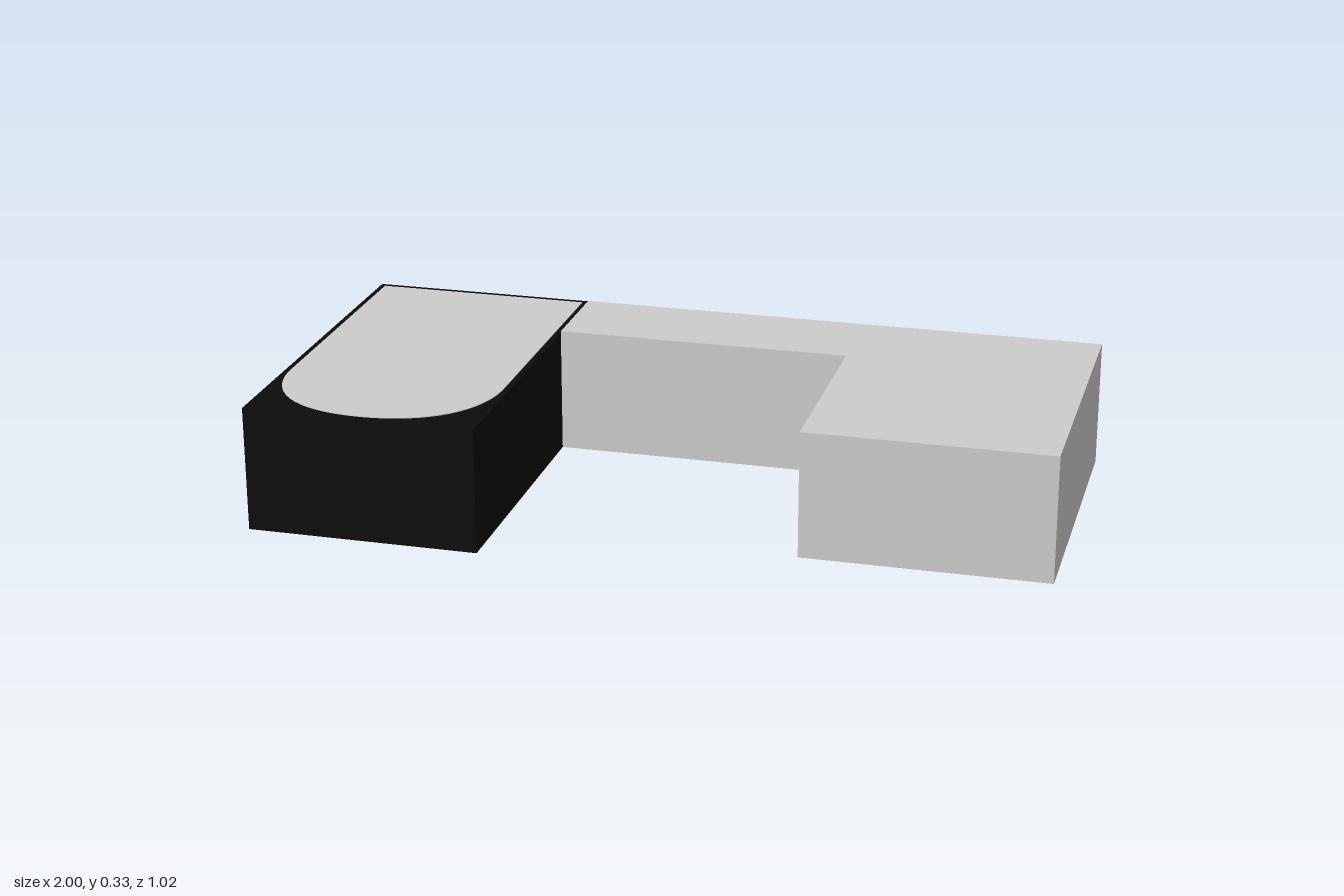
import * as THREE from 'three';

const grey = new THREE.MeshStandardMaterial({ color: 0xcccccc });
const black = new THREE.MeshStandardMaterial({ color: 0x0c0c0c });
const tan = new THREE.MeshStandardMaterial({ color: 0x8f7c58 });

// Box given by its limits on each axis
function block(name, [x0, x1], [y0, y1], [z0, z1], material) {
  const mesh = new THREE.Mesh(new THREE.BoxGeometry(x1 - x0, y1 - y0, z1 - z0), material);
  mesh.position.set((x0 + x1) / 2, (y0 + y1) / 2, (z0 + z1) / 2);
  mesh.name = name;
  return mesh;
}

// Round-headed outline standing on y = 0, traced into a shape or a hole
function archOutline(path, halfWidth, bottom, spring, rise) {
  path.moveTo(-halfWidth, bottom);
  path.lineTo(halfWidth, bottom);
  path.lineTo(halfWidth, spring);
  path.absellipse(0, spring, halfWidth, rise, 0, Math.PI, false);
  path.lineTo(-halfWidth, bottom);
  return path;
}

// Arched window frame with a mullion and a transom
function archedWindow(x, depth) {
  const group = new THREE.Group();
  group.name = 'archedWindow';
  const shape = archOutline(new THREE.Shape(), 0.046, 0, 0.09, 0.04);
  shape.holes.push(archOutline(new THREE.Path(), 0.034, 0.011, 0.09, 0.029));
  const frame = new THREE.Mesh(
    new THREE.ExtrudeGeometry(shape, {
      depth, curveSegments: 12,
      bevelEnabled: true, bevelThickness: 0.002, bevelSize: 0.002, bevelOffset: -0.002, bevelSegments: 1,
    }), tan);
  frame.name = 'windowFrame';
  group.add(
    frame,
    block('mullion', [-0.006, 0.006], [0.008, 0.122], [0, depth], tan),
    block('transom', [-0.036, 0.036], [0.083, 0.093], [0, depth], tan),
  );
  group.rotation.y = Math.PI;
  group.position.set(x, 0.08, -0.494);
  return group;
}

export function createModel() {
  const model = new THREE.Group();
  model.name = 'building';

  // Dark hall, plain link and side wing
  model.add(
    block('darkHall', [-1, -0.4], [0, 0.325], [-0.493, 0.507], black),
    block('linkBlock', [-0.4, 0.37], [0, 0.33], [-0.482, -0.225], grey),
    block('sideWing', [0.37, 1], [0, 0.33], [-0.482, 0.333], grey),
  );

  // Roof panel with a rounded front end, drawn in plan as (x, -z)
  const plan = new THREE.Shape();
  plan.moveTo(-0.985, 0.475);
  plan.lineTo(-0.985, -0.22);
  plan.bezierCurveTo(-0.985, -0.38, -0.88, -0.492, -0.7, -0.492);
  plan.bezierCurveTo(-0.52, -0.492, -0.415, -0.38, -0.415, -0.22);
  plan.lineTo(-0.415, 0.475);
  const roof = new THREE.Mesh(
    new THREE.ExtrudeGeometry(plan, { depth: 0.01, bevelEnabled: false, curveSegments: 16 }), grey);
  roof.name = 'roofPanel';
  roof.rotation.x = -Math.PI / 2;
  roof.position.y = 0.317;
  model.add(roof);

  // Row of windows on the back, the outermost set almost flush
  [[-0.5, 0.012], [-0.695, 0.01], [-0.878, 0.004]].forEach(([x, depth]) => model.add(archedWindow(x, depth)));

  return model;
}
